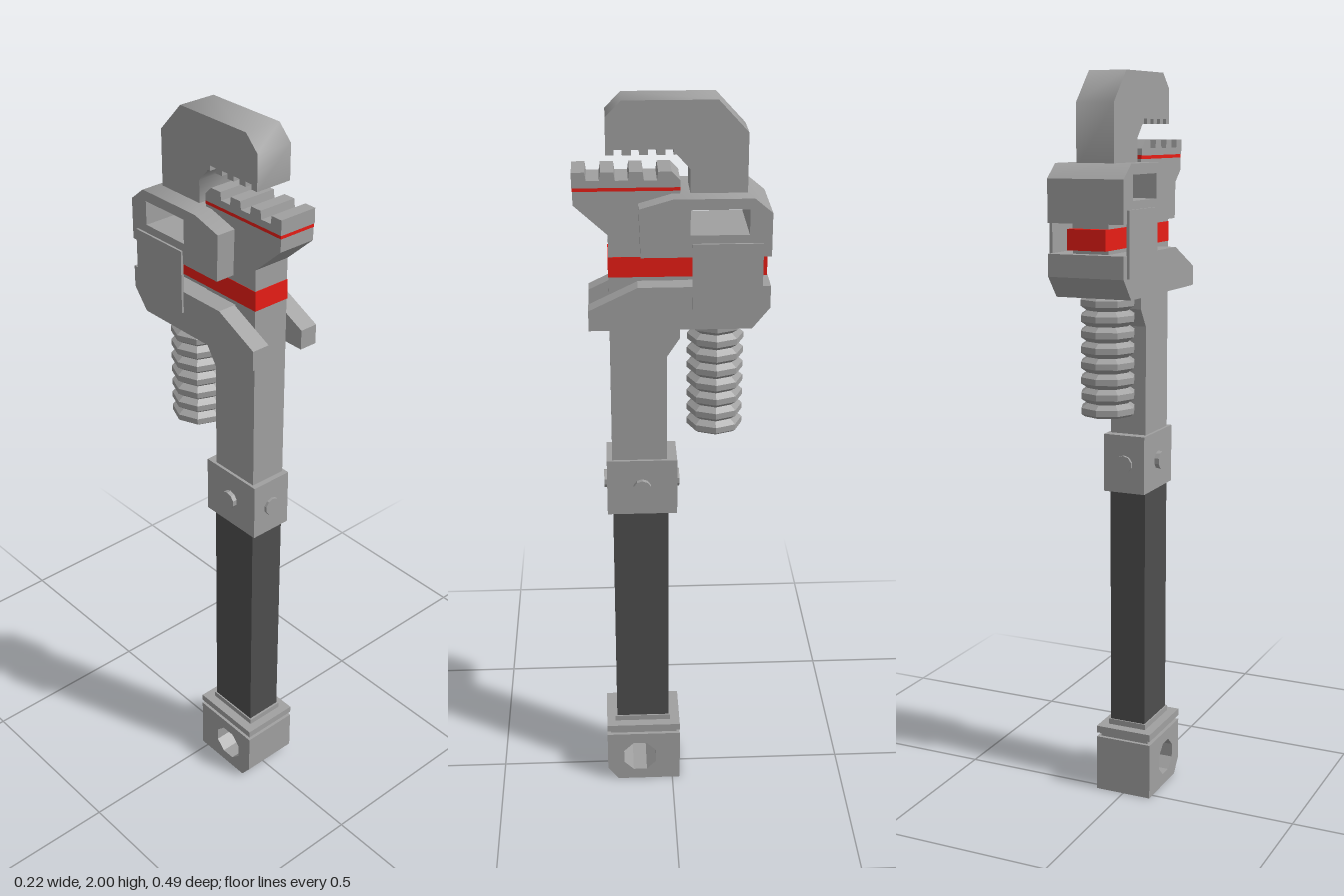
import * as THREE from 'three';
import { toCreasedNormals } from 'three/addons/utils/BufferGeometryUtils.js';

const grey = new THREE.MeshStandardMaterial({ color: 0xa0a0a0, flatShading: true });
const smoothGrey = new THREE.MeshStandardMaterial({ color: 0xa0a0a0 });
const dark = new THREE.MeshStandardMaterial({ color: 0x4e4e4e, flatShading: true });
const red = new THREE.MeshStandardMaterial({ color: 0xe81d15, flatShading: true });

export function createModel() {
  const model = new THREE.Group();
  model.name = 'pipeWrench';

  const add = (name, geometry, material = grey) => {
    const mesh = new THREE.Mesh(geometry, material);
    mesh.name = name;
    model.add(mesh);
    return mesh;
  };

  // Side profile of [z, y] points, extruded across x from x0 to x1
  const plate = (name, points, x0, x1, material = grey, hole = null) => {
    const toVec = ([z, y]) => new THREE.Vector2(z, y);
    const shape = new THREE.Shape(points.map(toVec));
    if (hole) shape.holes.push(new THREE.Path(hole.map(toVec)));
    const geo = new THREE.ExtrudeGeometry(shape, { depth: x1 - x0, bevelEnabled: false });
    geo.rotateY(-Math.PI / 2).translate(x1, 0, 0);
    return add(name, toCreasedNormals(geo, 0.87), material);
  };

  // Box given by half width in x, a y range and a z range
  const box = (name, hx, y0, y1, z0, z1, material = grey) => {
    const mesh = add(name, new THREE.BoxGeometry(hx * 2, y1 - y0, z1 - z0), material);
    mesh.position.set(0, (y0 + y1) / 2, (z0 + z1) / 2);
    return mesh;
  };

  // Handle end with hanging hole
  const hangHole = [];
  for (let i = 0; i < 8; i++) {
    const a = ((i + 0.5) / 8) * Math.PI * 2;
    hangHole.push([0.095 + 0.051 * Math.cos(a), 0.08 + 0.051 * Math.sin(a)]);
  }
  plate('handleEnd', [[-0.022, 0], [0.16, 0], [0.19, 0.04], [0.19, 0.16], [-0.022, 0.16]],
    -0.082, 0.082, grey, hangHole);
  box('endNeck', 0.072, 0.155, 0.175, -0.012, 0.18);
  box('endFlange', 0.082, 0.172, 0.192, -0.022, 0.19);
  box('gripFoot', 0.056, 0.19, 0.208, 0.006, 0.166);

  // Grip and bolted collar
  box('grip', 0.052, 0.205, 0.89, 0.01, 0.16, dark);
  box('collar', 0.06, 0.884, 1.044, -0.014, 0.175);
  for (let i = 0; i < 4; i++) {
    const a = (i * Math.PI) / 2;
    const bolt = add('collarBolt', new THREE.CylinderGeometry(0.025, 0.025, 0.03, 10));
    const reach = i % 2 ? 0.058 : 0.087;
    bolt.geometry.rotateX(Math.PI / 2).rotateY(a);
    bolt.position.set(Math.sin(a) * reach, 0.964, 0.0805 + Math.cos(a) * reach);
  }

  // Shank that widens into the lower jaw
  plate('shank', [
    [0.013, 1.03], [0.16, 1.03], [0.16, 1.668], [0.245, 1.745], [0.245, 1.782],
    [-0.02, 1.782], [-0.02, 1.39], [0.013, 1.34],
  ], -0.052, 0.052);
  box('jawStripe', 0.0525, 1.779, 1.79, -0.021, 0.246, red);

  // Toothed lower jaw face
  const lower = [[-0.02, 1.788], [0.247, 1.788]];
  for (let i = 0; i < 4; i++) {
    const z = 0.247 - i * 0.071;
    lower.push([z, 1.827], [z - 0.033, 1.827], [z - 0.036, 1.806], [z - 0.068, 1.806]);
  }
  lower.pop();
  lower[lower.length - 1] = [-0.02, 1.806];
  plate('lowerJawTeeth', lower, -0.0535, 0.0535);

  // Hooked upper jaw, teeth cut along the underside
  const hook = [
    [-0.045, 1.76], [-0.187, 1.76], [-0.187, 1.92], [-0.112, 2],
    [0.122, 2], [0.162, 1.96], [0.162, 1.868],
  ];
  for (let i = 0; i < 4; i++) {
    const z = 0.142 - i * 0.042;
    hook.push([z, 1.868], [z, 1.881], [z - 0.02, 1.881], [z - 0.02, 1.868]);
  }
  hook.push([-0.012, 1.868], [-0.045, 1.832]);
  plate('hookJaw', hook, -0.052, 0.052, smoothGrey);

  // Frame: upper housing with a window, lower housing with two prongs
  plate('upperHousing', [
    [0, 1.772], [-0.2, 1.772], [-0.245, 1.735], [-0.245, 1.625], [0.08, 1.625], [0.084, 1.748],
  ], -0.105, 0.105, smoothGrey,
  [[-0.043, 1.681], [-0.189, 1.681], [-0.189, 1.745], [-0.043, 1.745]]);
  plate('lowerHousing', [
    [0.088, 1.435], [-0.2, 1.435], [-0.245, 1.49], [-0.245, 1.548], [0.088, 1.548],
  ], -0.105, 0.105);
  for (const side of [-1, 1]) {
    const span = (a, b) => (side > 0 ? [a, b] : [-b, -a]);
    plate('prong', [[0.213, 1.435], [0.088, 1.435], [0.088, 1.548], [0.213, 1.488]],
      ...span(0.055, 0.105));
    plate('sidePlate', [[-0.048, 1.49], [-0.224, 1.49], [-0.224, 1.66], [-0.048, 1.66]],
      ...span(0.103, 0.111));
  }

  // Red band running through the frame
  box('bandCore', 0.05, 1.54, 1.63, -0.215, 0.05);
  box('redBand', 0.053, 1.558, 1.611, -0.24, 0.1615, red);

  // Ribbed adjusting screw
  const ribs = 8, base = 1.12, pitch = 0.0405;
  const profile = [new THREE.Vector2(0, base)];
  for (let i = 0; i < ribs; i++) {
    const y = base + i * pitch;
    profile.push(
      new THREE.Vector2(0.064, y), new THREE.Vector2(0.074, y + 0.007),
      new THREE.Vector2(0.074, y + 0.023), new THREE.Vector2(0.064, y + 0.03),
      new THREE.Vector2(0.057, y + 0.035));
  }
  profile.push(new THREE.Vector2(0.057, 1.45), new THREE.Vector2(0, 1.45));
  add('adjustingScrew', new THREE.LatheGeometry(profile, 8)).position.z = -0.115;

  return model;
}
